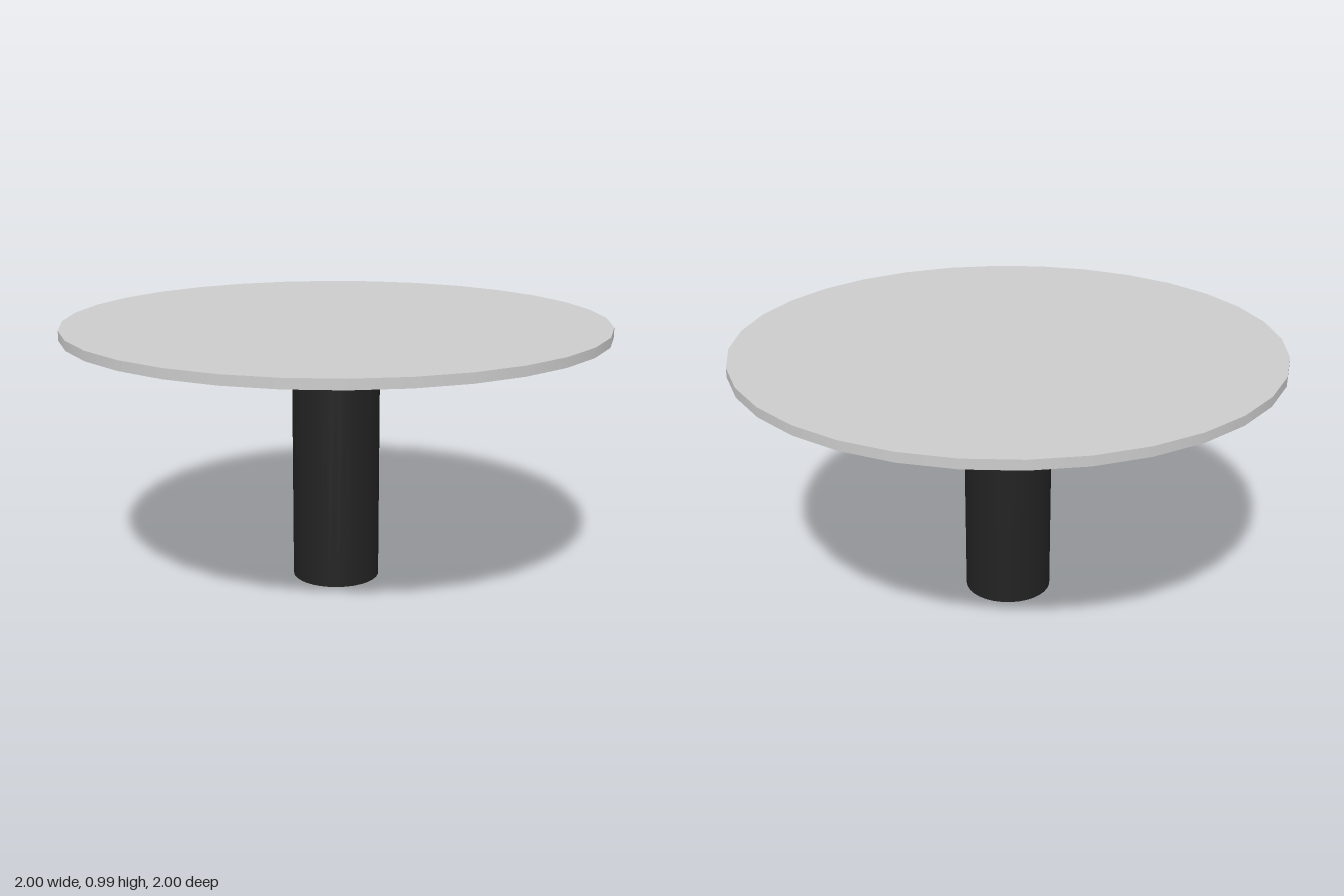
import * as THREE from 'three';

const TOP_Y = 0.985;      // overall height
const TOP_THICKNESS = 0.035;
const SEGMENTS = 32;

// Upright round part standing on the given height
function disc(name, radius, bottom, height, color) {
  const mesh = new THREE.Mesh(
    new THREE.CylinderGeometry(radius, radius, height, SEGMENTS),
    new THREE.MeshStandardMaterial({ color })
  );
  mesh.name = name;
  mesh.position.y = bottom + height / 2;
  return mesh;
}

export function createModel() {
  const table = new THREE.Group();
  table.name = 'roundTable';
  const underside = TOP_Y - TOP_THICKNESS;

  // Thin round top
  table.add(disc('tableTop', 1, underside, TOP_THICKNESS, 0xcccccc));

  // Dark central column
  table.add(disc('pedestal', 0.163, 0, underside, 0x222222));

  return table;
}
